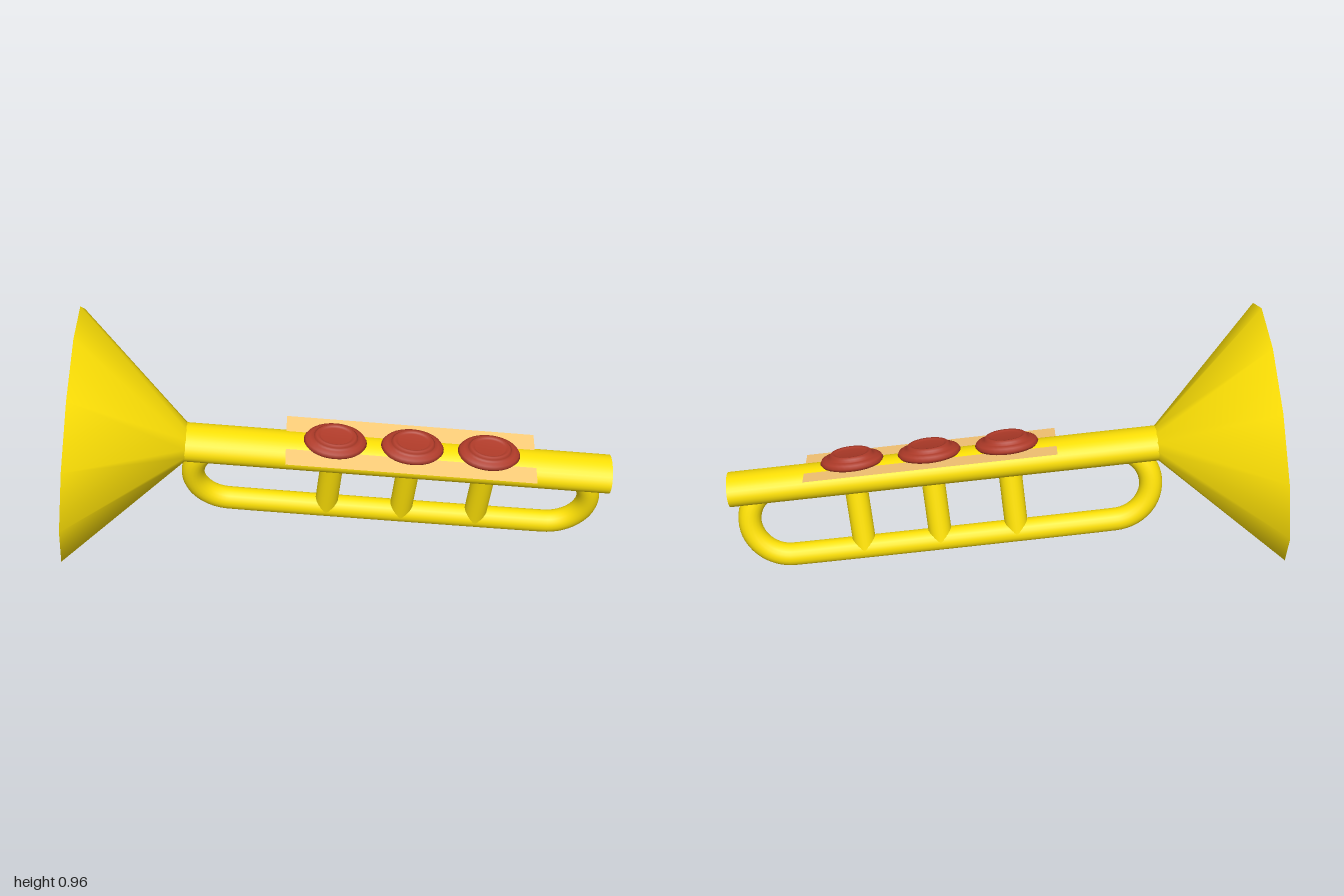
import * as THREE from 'three';

const brass = new THREE.MeshStandardMaterial({ color: 0xffe205 });
const red = new THREE.MeshStandardMaterial({ color: 0xae3a28 });
const tan = new THREE.MeshStandardMaterial({ color: 0xffcc78, side: THREE.DoubleSide });

const THROAT = 0.405, END = 1.955; // distances along the horn from the bell rim
const RY = 0.06, RZ = 0.08;        // oval section of the main tube
const DROP = 0.285;                // lower tube below the main tube
const VALVES = [0.94, 1.22, 1.5];
const SIDES = 12;

// Twelve-sided bell with a closed mouth; normals roll softly over the rim
function bellGeometry() {
  const bell = new THREE.CylinderGeometry(RZ, 0.468, THROAT, SIDES, 1, true);
  bell.rotateZ(-Math.PI / 2);
  const { position, normal } = bell.attributes;
  for (let i = 0; i < position.count; i++) {
    const y = position.getY(i), z = position.getZ(i), r = Math.hypot(y, z);
    const throat = position.getX(i) > 0;
    const radial = (throat ? 0.72 : 0.8) / r;
    normal.setXYZ(i, throat ? 0.69 : -0.6, y * radial, z * radial);
    if (throat) position.setY(i, y * RY / RZ);
  }
  // Mouth: a fan over the rim corners
  const index = [...bell.index.array], rim = SIDES + 1;
  for (let i = 1; i < SIDES - 1; i++) index.push(rim, rim + i + 1, rim + i);
  bell.setIndex(index);
  return bell;
}

export function createModel() {
  const model = new THREE.Group();
  model.name = 'trumpet';

  // Horn frame: x runs from the bell rim to the mouth end, tilted and rolled
  const horn = new THREE.Group();
  horn.name = 'horn';
  horn.position.set(-0.95, 0.504, 0.003);
  horn.rotation.set(0.21, 0.031, -0.103, 'YZX');
  model.add(horn);

  const add = (name, geometry, material, x = 0, y = 0, z = 0) => {
    const mesh = new THREE.Mesh(geometry, material);
    mesh.name = name;
    mesh.position.set(x, y, z);
    horn.add(mesh);
  };

  add('bell', bellGeometry(), brass, THROAT / 2);

  // Main tube
  const tube = new THREE.CylinderGeometry(1, 1, END - THROAT + 0.015, 32);
  tube.rotateZ(-Math.PI / 2);
  tube.scale(1, RY, RZ);
  add('mainTube', tube, brass, (THROAT + END - 0.015) / 2);

  // Lower loop: two half circles joined by a straight run
  const r = DROP / 2;
  const path = new THREE.Path();
  path.absarc(0.58, -r, r, Math.PI / 2, Math.PI * 1.5, false);
  path.absarc(1.76, -r, r, -Math.PI / 2, Math.PI / 2, false);
  const points = path.getPoints(14).map((q) => new THREE.Vector3(q.x, q.y, 0));
  const curve = new THREE.CatmullRomCurve3(points, false, 'centripetal');
  add('lowerLoop', new THREE.TubeGeometry(curve, 120, 0.042, 20), brass);

  // Valve plate
  const plate = new THREE.PlaneGeometry(0.91, 0.24).rotateX(-Math.PI / 2);
  add('valvePlate', plate, tan, 1.218, 0.05);

  // Valves: a post below and an oval stepped button above
  const post = new THREE.CylinderGeometry(0.042, 0.042, DROP, 24);
  const profile = [
    [0, 0.035], [0.09, 0.035], [0.105, 0.042], [0.111, 0.052], [0.105, 0.063],
    [0.09, 0.069], [0.078, 0.069], [0.077, 0.078], [0.069, 0.085], [0.058, 0.083],
    [0.053, 0.078], [0, 0.078],
  ].map(([x, y]) => new THREE.Vector2(x, y));
  const button = new THREE.LatheGeometry(profile, 32).scale(1.03, 1, 0.75);
  VALVES.forEach((x, i) => {
    add(`valvePost${i + 1}`, post, brass, x, -DROP / 2);
    add(`valveButton${i + 1}`, button, red, x, 0.011);
  });

  return model;
}
